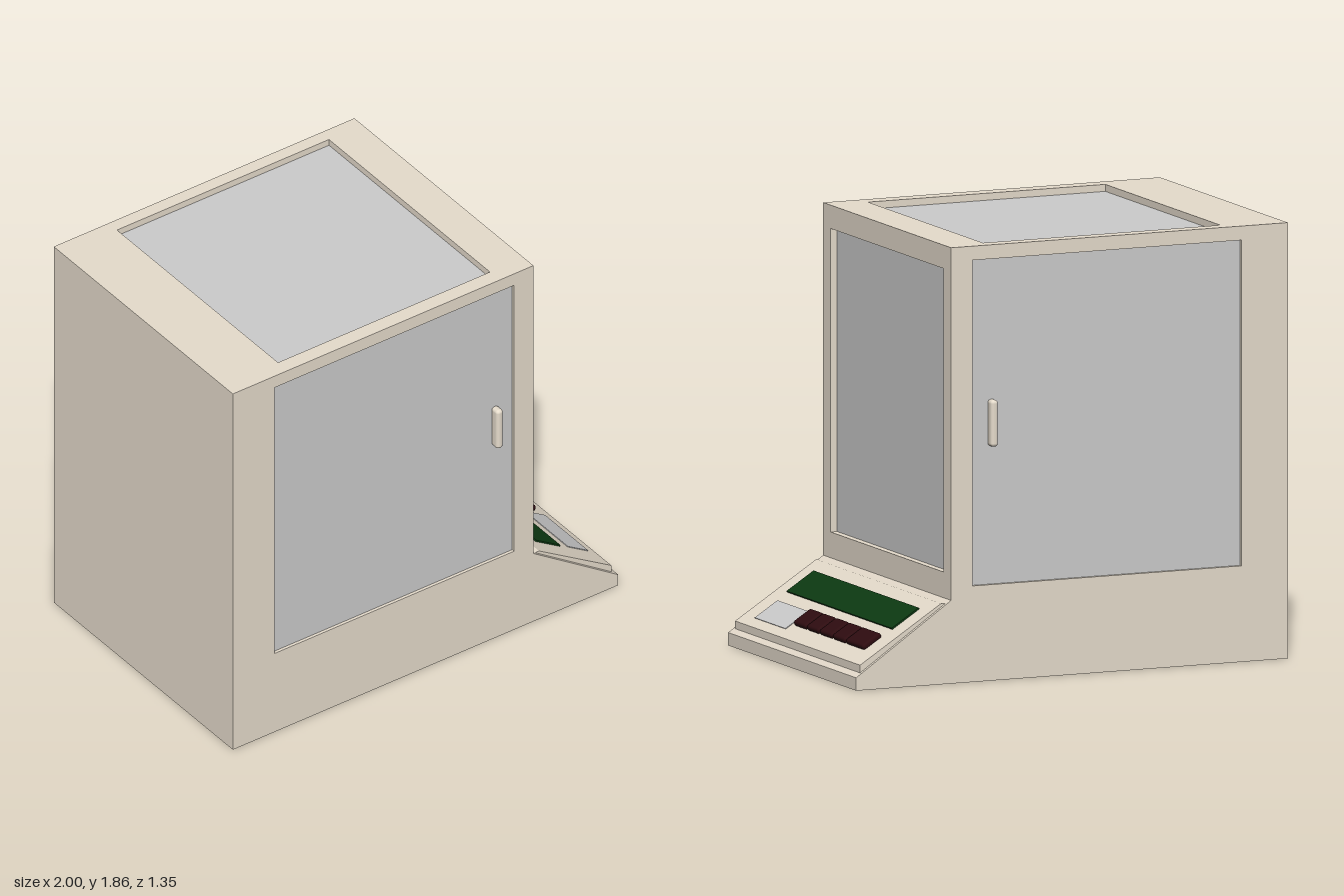
import * as THREE from 'three';
import { RoundedBoxGeometry } from 'three/addons/geometries/RoundedBoxGeometry.js';

const material = (color) => new THREE.MeshStandardMaterial({ color });

// Straight extrusion of a polygon, with an optional rectangular opening [x0, y0, x1, y1]
function plate(points, depth, hole) {
  const shape = new THREE.Shape(points.map(([x, y]) => new THREE.Vector2(x, y)));
  if (hole) {
    const [x0, y0, x1, y1] = hole;
    shape.holes.push(new THREE.Path([[x0, y0], [x0, y1], [x1, y1], [x1, y0]]
      .map(([x, y]) => new THREE.Vector2(x, y))));
  }
  return new THREE.ExtrudeGeometry(shape, { depth, bevelEnabled: false });
}

const rect = (x0, y0, x1, y1) => [[x0, y0], [x1, y0], [x1, y1], [x0, y1]];

export function createModel() {
  const model = new THREE.Group();
  const bodyMat = material(0xe6dccc);
  const windowMat = material(0xcccccc);
  const screenMat = material(0x0d3a12);
  const buttonMat = material(0x2e0c10);
  const padMat = material(0xc0c0c4);

  const add = (name, geometry, mat, x = 0, y = 0, z = 0, parent = model) => {
    const mesh = new THREE.Mesh(geometry, mat);
    mesh.name = name;
    mesh.position.set(x, y, z);
    parent.add(mesh);
    return mesh;
  };

  const halfDepth = 0.645, side = 0.018, inner = halfDepth - side, recess = 0.034;
  const height = 1.86, wallX = 0.56;

  // Inner block, set back behind the window frames
  add('cabinetCore', plate([[-1, 0], [1, 0], [1, 0.055], [wallX, 0.355], [wallX - recess, 0.355],
    [wallX - recess, height - recess], [-1, height - recess]], 2 * inner), bodyMat, 0, 0, -inner);

  // Front and back faces with door openings, doors and handles
  const outline = [[-1, 0], [1, 0], [1, 0.055], [wallX, 0.355], [wallX, height], [-1, height]];
  const door = [-0.785, 0.41, 0.46, 1.8];
  for (const [name, s] of [['front', 1], ['back', -1]]) {
    add(name + 'Frame', plate(outline, side, door), bodyMat, 0, 0, s > 0 ? inner : -halfDepth);
    add(name + 'Door', new THREE.BoxGeometry(1.245, 1.39, 0.008), windowMat, -0.1625, 1.105, s * inner);
    add(name + 'Handle', new RoundedBoxGeometry(0.034, 0.2, 0.05, 4, 0.015), bodyMat,
      0.369, 1.1, s * 0.649);
  }

  // Top frame and recessed top window
  const topFrame = plate(rect(-1, -inner, wallX, inner), recess, [-0.715, -0.575, 0.385, 0.585]);
  topFrame.rotateX(-Math.PI / 2);
  add('topFrame', topFrame, bodyMat, 0, height - recess, 0);
  add('topWindow', new THREE.BoxGeometry(1.1, 0.008, 1.16), windowMat, -0.165, height - recess, -0.005);

  // Side frame and recessed side window above the console
  const sideFrame = plate(rect(-inner, 0.355, inner, height - recess), recess, [-0.57, 0.465, 0.57, 1.76]);
  sideFrame.rotateY(Math.PI / 2);
  add('sideFrame', sideFrame, bodyMat, wallX - recess, 0, 0);
  add('sideWindow', new THREE.BoxGeometry(0.008, 1.295, 1.14), windowMat, wallX - recess, 1.1125, 0);

  // Wedge-shaped console plate lying on the slope
  add('consolePlate', plate([[0.579, 0.335], [0.975, 0.065], [0.975, 0.105], [0.6, 0.342], [0.579, 0.342]], 1.26),
    bodyMat, 0, 0, -0.63);

  // Controls: local x runs down the slope, local y points out of it
  const controls = new THREE.Group();
  controls.name = 'controls';
  controls.position.set(0.6, 0.342, 0);
  controls.rotation.z = Math.atan2(-0.237, 0.375);
  model.add(controls);

  add('display', new THREE.BoxGeometry(0.148, 0.014, 1.06), screenMat, 0.138, 0, 0, controls);
  add('pad', new THREE.BoxGeometry(0.125, 0.006, 0.31), padMat, 0.333, 0, 0.363, controls);
  const buttons = [[0.178, 0.055], [0.046, -0.072], [-0.083, -0.205], [-0.216, -0.338], [-0.348, -0.524]];
  buttons.forEach(([z0, z1], i) => {
    add('button' + (i + 1), new RoundedBoxGeometry(0.1, 0.028, z0 - z1, 3, 0.012), buttonMat,
      0.313, 0.008, (z0 + z1) / 2, controls);
  });

  return model;
}
